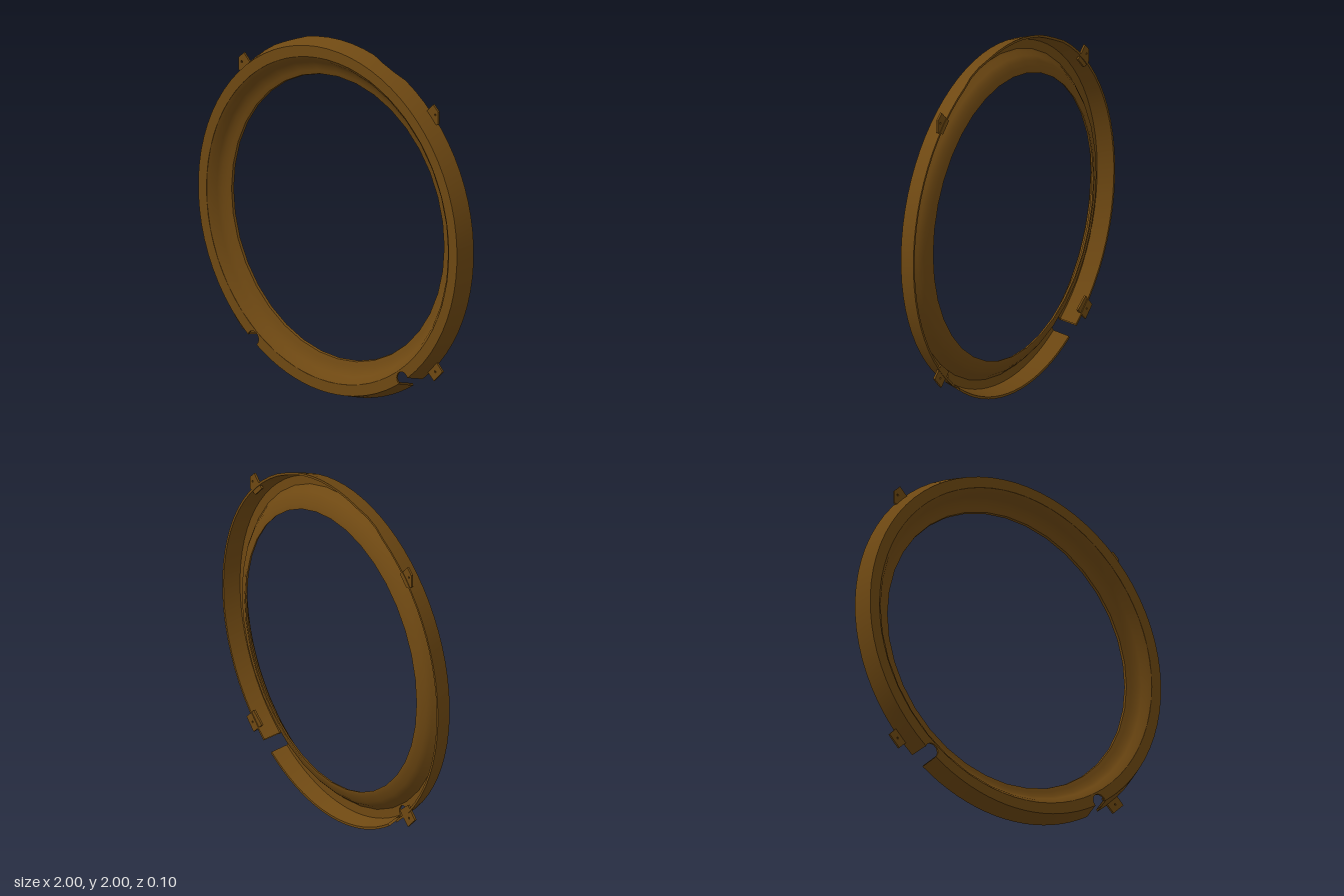
import * as THREE from 'three';
import { toCreasedNormals } from 'three/addons/utils/BufferGeometryUtils.js';

const material = new THREE.MeshStandardMaterial({ color: 0x6e4812, side: THREE.DoubleSide });
const NOTCH = 0.623; // angle of each notch from the bottom
const GAP = 0.042; // half the angle a notch takes out of the outer wall

function addMesh(parent, name, geometry) {
  const mesh = new THREE.Mesh(toCreasedNormals(geometry, 0.5), material);
  mesh.name = name;
  parent.add(mesh);
  return mesh;
}

// Revolves [radius, z] pairs about z; angle 0 is the bottom of the ring
function revolve(profile, segments, start = 0, length = Math.PI * 2) {
  const points = profile.map(([r, z]) => new THREE.Vector2(r, z));
  points.push(points[0].clone());
  return new THREE.LatheGeometry(points, segments, start, length).rotateX(Math.PI / 2);
}

// Tapered outer wall, with shallow dips in its rear edge near the top
function wallArc(segments, start, length) {
  const profile = [[1, -0.05], [0.97, 0.05], [0.958, 0.05], [0.987, -0.05]];
  const geometry = revolve(profile, segments, start, length);
  const p = geometry.attributes.position;
  for (let i = 0; i < p.count; i++) {
    const fromTop = Math.abs(Math.atan2(p.getX(i), p.getY(i)));
    if (p.getZ(i) < -0.04 && fromTop > 0.3 && fromTop < 0.5) {
      p.setXYZ(i, p.getX(i) * 0.996, p.getY(i) * 0.996, -0.038);
    }
  }
  return geometry;
}

// Flat front rim with two round-bottomed notches cut from its edge
function rimGeometry() {
  const outline = [];
  const arc = (from, to, n) => {
    for (let i = 0; i <= n; i++) {
      const a = from + ((to - from) * i) / n;
      outline.push(new THREE.Vector2(0.97 * Math.sin(a), -0.97 * Math.cos(a)));
    }
  };
  const notch = (angle) => {
    for (let i = 0; i <= 12; i++) {
      const t = -0.3 + ((Math.PI + 0.6) * i) / 12;
      const along = -0.041 * Math.cos(t);
      const r = 0.958 - 0.041 * Math.sin(t);
      outline.push(new THREE.Vector2(
        r * Math.sin(angle) + along * Math.cos(angle),
        -r * Math.cos(angle) + along * Math.sin(angle)
      ));
    }
  };
  arc(-NOTCH + GAP, NOTCH - GAP, 18);
  notch(NOTCH);
  arc(NOTCH + GAP, Math.PI * 2 - NOTCH - GAP, 58);
  notch(-NOTCH);
  const shape = new THREE.Shape(outline);
  shape.holes.push(new THREE.Path().absarc(0, 0, 0.908, 0, Math.PI * 2, true));
  return new THREE.ExtrudeGeometry(shape, { depth: 0.01, bevelEnabled: false, curveSegments: 36 })
    .translate(0, 0, 0.04);
}

// Thin plate with a small screw hole
function tabGeometry(points, holeX, holeY) {
  const shape = new THREE.Shape(points.map(([x, y]) => new THREE.Vector2(x, y - 1)));
  shape.holes.push(new THREE.Path().absarc(holeX, holeY - 1, 0.006, 0, Math.PI * 2, true));
  return new THREE.ExtrudeGeometry(shape, { depth: 0.012, bevelEnabled: false, curveSegments: 5 })
    .translate(0, 0, -0.046);
}

export function createModel() {
  const model = new THREE.Group();
  model.name = 'bezelRing';
  const ring = new THREE.Group();
  ring.name = 'ring';
  ring.position.y = 1;
  model.add(ring);

  addMesh(ring, 'frontRim', rimGeometry());

  // Dished inner face stepping back to the opening
  addMesh(ring, 'innerDish', revolve([
    [0.912, 0.05], [0.89, 0.035], [0.87, 0.008], [0.85, -0.012], [0.82, -0.022], [0.797, -0.03],
    [0.793, -0.044], [0.803, -0.044], [0.825, -0.033], [0.856, -0.023], [0.88, 0.0], [0.9, 0.028], [0.912, 0.04],
  ], 36));

  // Outer wall in two arcs, open at the notches
  const lower = 2 * (NOTCH - GAP);
  const upper = 2 * Math.PI - 2 * (NOTCH + GAP);
  addMesh(ring, 'lowerOuterWall', wallArc(18, -lower / 2, lower));
  addMesh(ring, 'upperOuterWall', wallArc(58, NOTCH + GAP, upper));

  // Mounting tabs, mirrored left and right
  for (const side of [1, -1]) {
    const label = side > 0 ? 'left' : 'right';
    const top = [[0.64, 1.72], [0.675, 1.75], [0.71, 1.785], [0.747, 1.75], [0.747, 1.68], [0.7, 1.66]];
    const bottom = [[0.64, 0.295], [0.715, 0.225], [0.78, 0.29], [0.715, 0.355]];
    const mirror = (pts) => pts.map(([x, y]) => [x * side, y]);
    addMesh(ring, label + 'UpperTab', tabGeometry(mirror(top), 0.725 * side, 1.73));
    addMesh(ring, label + 'LowerTab', tabGeometry(mirror(bottom), 0.725 * side, 0.28));
  }
  return model;
}
